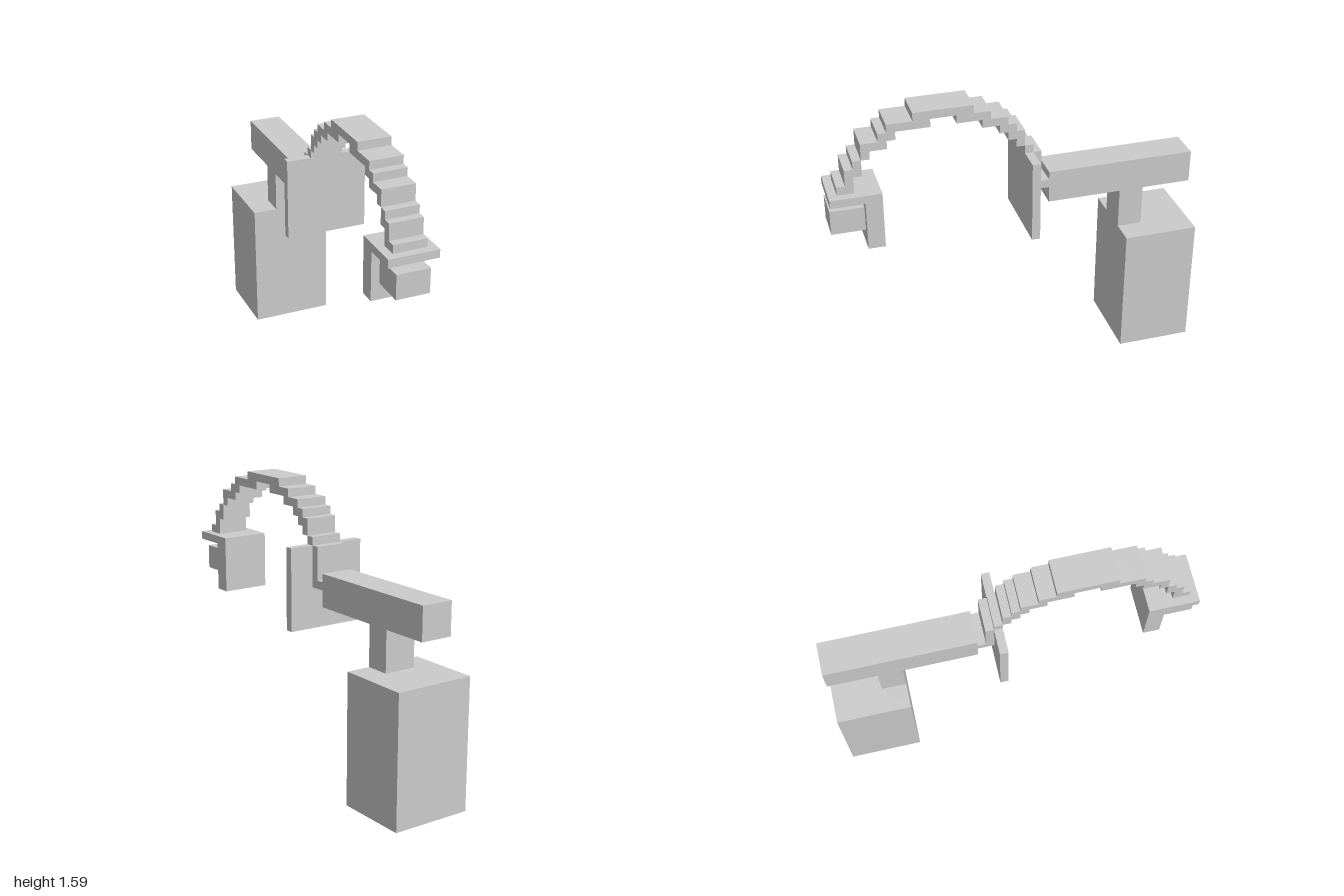
import * as THREE from 'three';

// Everything sits on a block grid: 22 blocks per unit
const U = 1 / 22;
const material = new THREE.MeshStandardMaterial({ color: 0xcccccc, flatShading: true });

// Box centred on x, given its half width and its y and z ranges in blocks
function block(name, half, y0, y1, z0, z1) {
  const geometry = new THREE.BoxGeometry(2 * half * U, (y1 - y0) * U, (z1 - z0) * U);
  geometry.translate(0, (y0 + y1) / 2 * U, (z0 + z1) / 2 * U);
  const mesh = new THREE.Mesh(geometry, material);
  mesh.name = name;
  return mesh;
}

// Corner points of a staircase; each step is [end z, height]
function stairs(start, steps) {
  const points = [];
  let z = start;
  for (const [end, y] of steps) {
    points.push(new THREE.Vector2(z * U, y * U), new THREE.Vector2(end * U, y * U));
    z = end;
  }
  return points;
}

// Solid between a lower and an upper staircase, extruded across x
function steppedBand(name, half, start, lower, upper) {
  const shape = new THREE.Shape([...stairs(start, lower), ...stairs(start, upper).reverse()]);
  const geometry = new THREE.ExtrudeGeometry(shape, { depth: 2 * half * U, bevelEnabled: false });
  geometry.translate(0, 0, -half * U).rotateY(-Math.PI / 2);
  const mesh = new THREE.Mesh(geometry, material);
  mesh.name = name;
  return mesh;
}

export function createModel() {
  const model = new THREE.Group();
  model.name = 'steppedArm';

  // Pedestal, post and horizontal beam
  model.add(
    block('pedestal', 5, 0, 16, -22, -13),
    block('post', 2, 16, 21, -16, -13),
    block('beam', 2, 21, 25, -22, -4),
  );

  // Shield plate with its link to the beam
  model.add(
    block('beamLink', 2, 23, 24, -4, -3),
    block('plateBracket', 2, 23, 28, -3, -2),
    block('shieldPlate', 5, 18, 28, -2, -1),
    block('archFoot', 2, 28, 29, -2, -1),
  );

  // Arch, stepping up from the plate and down to the head
  model.add(
    steppedBand('arch', 2, -1,
      [[0, 29], [1, 30], [2, 31], [4, 32], [7, 33], [10, 34], [14, 33], [15, 32], [17, 31], [18, 30]],
      [[0, 31], [1, 32], [3, 33], [5, 34], [12, 35], [15, 34], [16, 33], [18, 32]]),
    steppedBand('archEnd', 2, 18,
      [[19, 28], [21, 26]],
      [[19, 30], [20, 29], [21, 27]]),
  );

  // Hanging head: roof, back slab and front block
  const head = new THREE.Group();
  head.name = 'head';
  head.add(
    block('headRoof', 3, 25, 26, 16, 22),
    block('headSlab', 3, 19, 25, 16, 18),
    block('headFrontBlock', 2, 21, 24, 18, 22),
  );
  model.add(head);

  return model;
}
